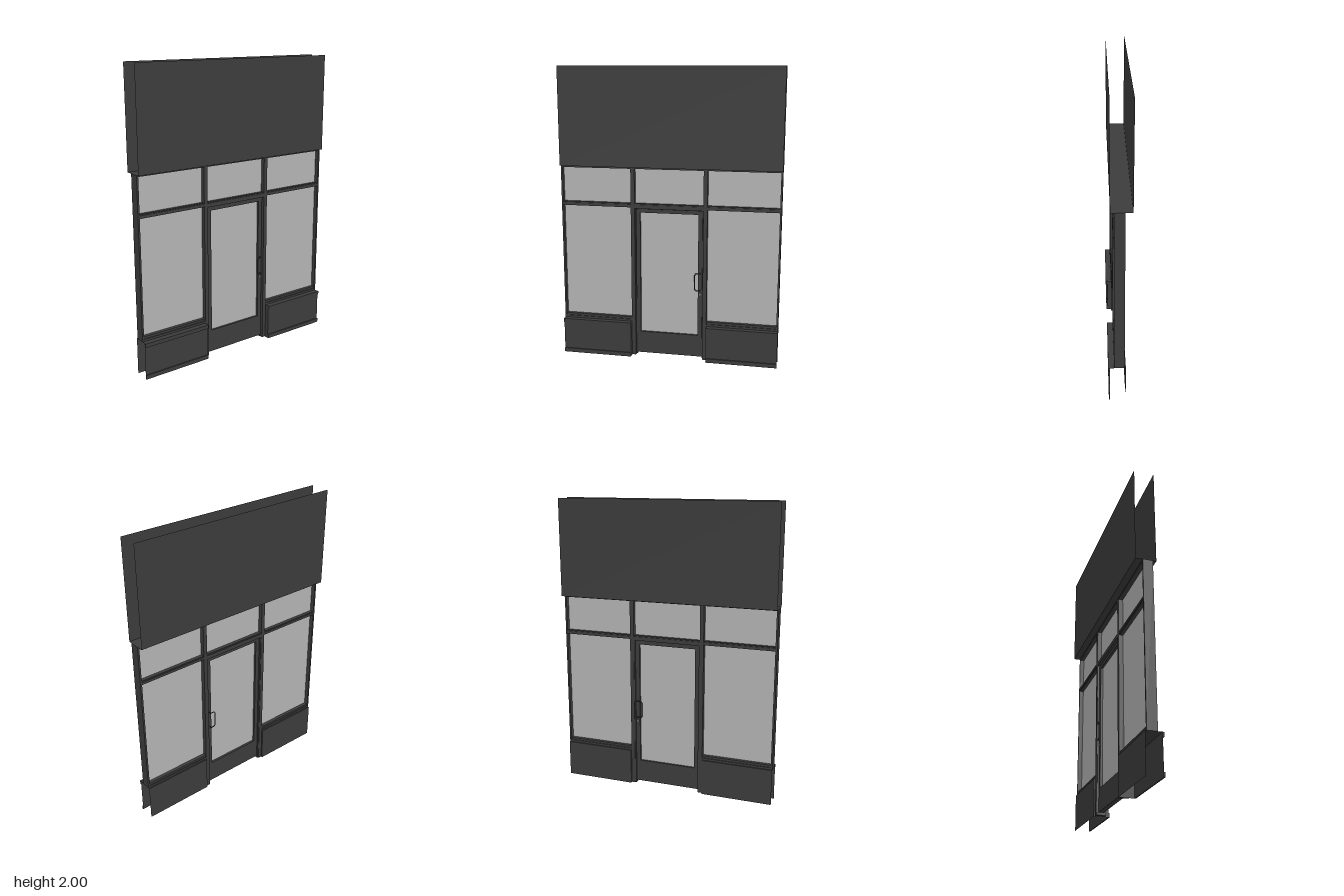
import * as THREE from 'three';

const dark = new THREE.MeshStandardMaterial({ color: 0x3c3c3c, side: THREE.DoubleSide });
const glassMat = new THREE.MeshStandardMaterial({ color: 0xb4b4b4, side: THREE.DoubleSide });
const metal = new THREE.MeshStandardMaterial({ color: 0x777777 });

// Box given by its limits on each axis
function box(parent, name, [x0, x1], [y0, y1], [z0, z1], mat = dark) {
  const mesh = new THREE.Mesh(new THREE.BoxGeometry(x1 - x0, y1 - y0, z1 - z0), mat);
  mesh.position.set((x0 + x1) / 2, (y0 + y1) / 2, (z0 + z1) / 2);
  mesh.name = name;
  parent.add(mesh);
  return mesh;
}

// Open sheet: a path in one plane swept along the third axis
function sheet(parent, name, a, b) {
  const pos = [], index = [];
  a.forEach((p, i) => {
    pos.push(...p, ...b[i]);
    if (i) index.push(2 * i - 2, 2 * i - 1, 2 * i, 2 * i, 2 * i - 1, 2 * i + 1);
  });
  const geo = new THREE.BufferGeometry();
  geo.setAttribute('position', new THREE.Float32BufferAttribute(pos, 3));
  geo.setIndex(index);
  const flat = geo.toNonIndexed();
  flat.computeVertexNormals();
  const mesh = new THREE.Mesh(flat, dark);
  mesh.name = name;
  parent.add(mesh);
}

const FRAME_Z = [-0.03, 0.035];
const GLASS_Z = [0, 0.005];
const W = 0.75, MULL_IN = 0.235, MULL_OUT = 0.262, EDGE = 0.738;

function makeGroup(parent, name) {
  const g = new THREE.Group();
  g.name = name;
  parent.add(g);
  return g;
}

// Upper fascia: front and back sheets joined by a soffit, open at the top and ends
function addFascia(parent) {
  const profile = [[2, 0.057], [1.337, 0.057], [1.337, -0.075], [2, -0.075]];
  sheet(parent, 'fascia', profile.map(([y, z]) => [-W, y, z]), profile.map(([y, z]) => [W, y, z]));
}

// Low wall under a side window, open at its outer end and underside
function addBulkhead(parent, s) {
  const g = makeGroup(parent, s > 0 ? 'leftBulkhead' : 'rightBulkhead');
  const zf = 0.062, zb = -0.038, inner = s * 0.264, outer = s * W;
  const profile = [[0, zf], [0.25, zf], [0.25, zb], [0, zb]];
  sheet(g, 'bulkheadSkin', profile.map(([y, z]) => [outer, y, z]), profile.map(([y, z]) => [inner, y, z]));
  sheet(g, 'bulkheadReturn',
    [[inner, 0, zf], [inner, 0.25, zf]], [[inner, 0, zb], [inner, 0.25, zb]]);
  const span = [Math.min(inner, outer), Math.max(inner, outer)];
  box(g, 'baseTrim', span, [0, 0.028], [zf, 0.07]);
  box(g, 'capTrim', span, [0.222, 0.25], [zf, 0.07]);
  box(g, 'capLip', span, [0.236, 0.25], [0.07, 0.073]);
}

// Side window bay: uprights, rails, glass and glazing beads
function addBay(parent, s) {
  const g = makeGroup(parent, s > 0 ? 'leftWindow' : 'rightWindow');
  const span = (a, b) => (s > 0 ? [a, b] : [-b, -a]);
  box(g, 'mullion', span(MULL_IN, MULL_OUT), [0.004, 1.337], FRAME_Z);
  box(g, 'endPost', span(EDGE, W), [0.25, 1.337], FRAME_Z);
  const x = span(MULL_OUT, EDGE);
  box(g, 'sill', x, [0.25, 0.265], FRAME_Z);
  box(g, 'sillBead', x, [0.265, 0.28], [-0.024, 0.029]);
  box(g, 'transomBar', x, [1.068, 1.084], FRAME_Z);
  box(g, 'transomBead', x, [1.062, 1.09], [-0.024, 0.029]);
  box(g, 'headRail', x, [1.326, 1.337], FRAME_Z);
  box(g, 'windowGlass', x, [0.28, 1.062], GLASS_Z, glassMat);
  box(g, 'transomGlass', x, [1.09, 1.326], GLASS_Z, glassMat);
}

// Glazed door with a pull handle and a lock on each face
function addDoor(parent) {
  const door = makeGroup(parent, 'door');
  const z = [-0.015, 0.02];
  for (const s of [-1, 1]) {
    const x = s > 0 ? [0.2, 0.229] : [-0.229, -0.2];
    box(door, 'stile', x, [0.02, 1.052], z);
    box(door, 'doorStop', s > 0 ? [0.229, 0.235] : [-0.235, -0.229], [0.004, 1.06], [-0.026, 0.01]);
  }
  box(door, 'topRail', [-0.2, 0.2], [1.027, 1.052], z);
  box(door, 'bottomRail', [-0.2, 0.2], [0.02, 0.175], z);
  box(door, 'doorGlass', [-0.2, 0.2], [0.175, 1.027], GLASS_Z, glassMat);

  for (const [face, out] of [[0.02, 0.037], [-0.015, -0.031]]) {
    const path = new THREE.CurvePath();
    const pts = [[0.215, 0.622, face], [0.215, 0.622, out], [0.187, 0.622, out], [0.18, 0.612, out],
      [0.18, 0.512, out], [0.187, 0.502, out], [0.215, 0.502, out], [0.215, 0.502, face]]
      .map((p) => new THREE.Vector3(...p));
    for (let i = 1; i < pts.length; i++) path.add(new THREE.LineCurve3(pts[i - 1], pts[i]));
    const handle = new THREE.Mesh(new THREE.TubeGeometry(path, 80, 0.0035, 8), dark);
    handle.name = 'pullHandle';
    door.add(handle);

    const lock = new THREE.Mesh(new THREE.CylinderGeometry(0.007, 0.007, 0.006, 16), metal);
    lock.rotation.x = Math.PI / 2;
    lock.position.set(0.215, 0.472, face);
    lock.name = 'lock';
    door.add(lock);
  }
}

export function createModel() {
  const model = new THREE.Group();
  model.name = 'shopfront';
  addFascia(model);
  for (const s of [-1, 1]) {
    addBulkhead(model, s);
    addBay(model, s);
  }
  // Frame and glass above the door
  const over = makeGroup(model, 'doorTransom');
  const x = [-MULL_IN, MULL_IN];
  box(over, 'doorHeader', x, [1.056, 1.084], FRAME_Z);
  box(over, 'headerBead', x, [1.084, 1.09], [-0.024, 0.029]);
  box(over, 'headRail', x, [1.326, 1.337], FRAME_Z);
  box(over, 'overDoorGlass', x, [1.09, 1.326], GLASS_Z, glassMat);
  addDoor(model);
  return model;
}
